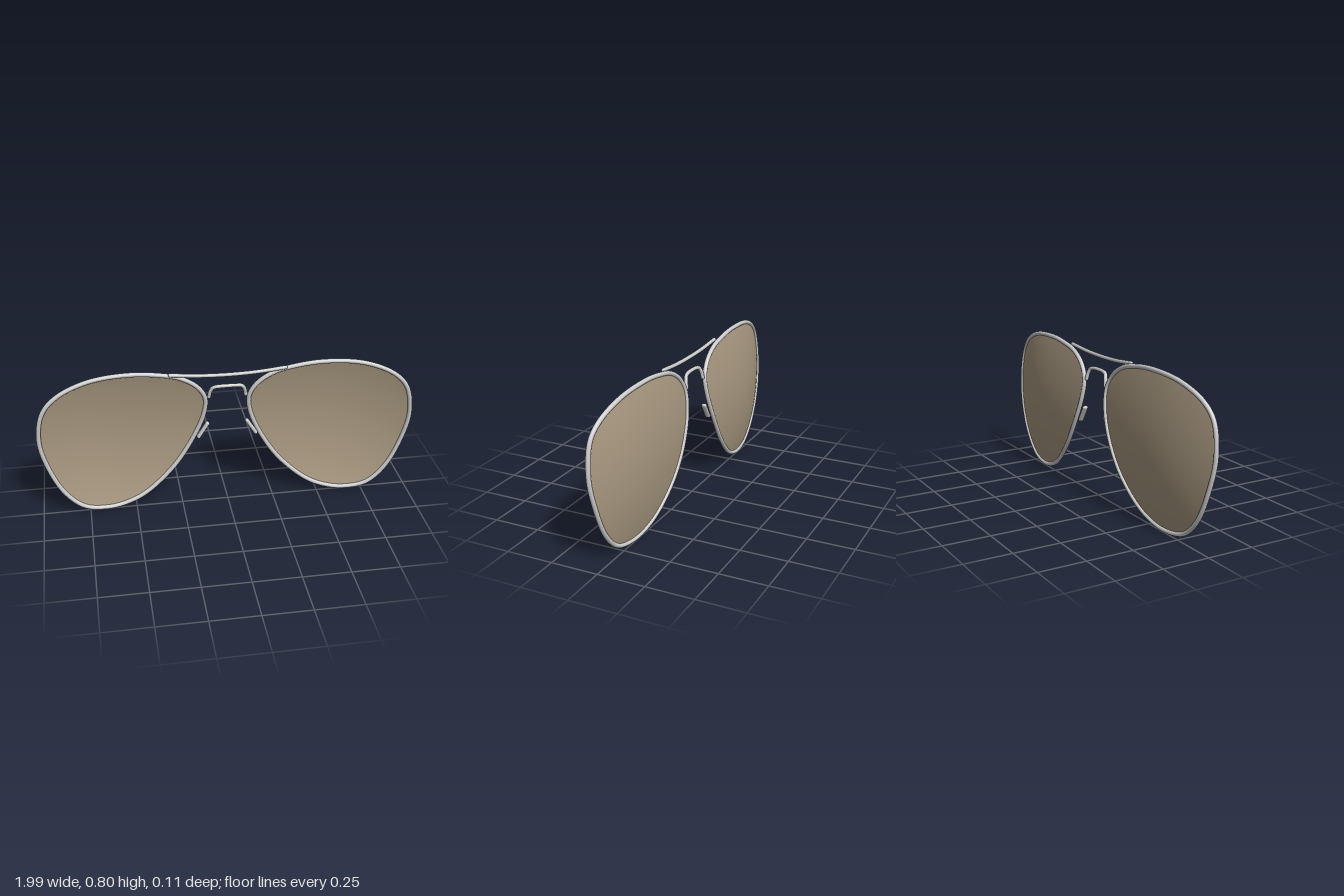
import * as THREE from 'three';

const metal = new THREE.MeshStandardMaterial({ color: 0xcccccc });
const tint = new THREE.MeshStandardMaterial({ color: 0xa89880, side: THREE.DoubleSide });

// Teardrop outline of one lens (x, y)
const outline = [
  [0.51, 0.805], [0.35, 0.79], [0.24, 0.763], [0.15, 0.705], [0.105, 0.63], [0.11, 0.535],
  [0.16, 0.40], [0.275, 0.215], [0.435, 0.068], [0.55, 0.017], [0.66, 0.003], [0.785, 0.03],
  [0.89, 0.135], [0.97, 0.32], [0.997, 0.48], [0.965, 0.64], [0.89, 0.72], [0.73, 0.785],
];
const CX = 0.55, CY = 0.42, RIM = 0.012;

// Depth of the wrapped lens surface at (x, y)
function depth(x, y) {
  const d = x - 0.46;
  const across = d < 0 ? 0.17 * d * d : 0.39 * Math.pow(d, 2.3);
  return -0.055 + across + 0.34 * (y - 0.4) ** 2;
}

// Outline pulled toward the lens middle by factor k and laid on the curved surface
function surfacePoint(p, k, side) {
  const x = CX + (p.x - CX) * k, y = CY + (p.y - CY) * k;
  return new THREE.Vector3(side * x, y, depth(x, y));
}

function addMesh(parent, name, geometry, material) {
  const mesh = new THREE.Mesh(geometry, material);
  mesh.name = name;
  parent.add(mesh);
  return mesh;
}

// Round wire through points, with rounded ends
function addWire(parent, name, points, radius) {
  const group = new THREE.Group();
  group.name = name;
  const pts = points.map((p) => new THREE.Vector3(...p));
  const curve = new THREE.CatmullRomCurve3(pts, false, 'centripetal');
  addMesh(group, name + 'Wire', new THREE.TubeGeometry(curve, 64, radius, 12), metal);
  for (const end of [pts[0], pts[pts.length - 1]]) {
    addMesh(group, name + 'End', new THREE.SphereGeometry(radius, 12, 8), metal).position.copy(end);
  }
  parent.add(group);
}

// Curved lens made of concentric rings
function lensGeometry(border, side) {
  const rings = 20, n = border.length, positions = [], index = [];
  for (let r = 0; r <= rings; r++) {
    for (const p of border) positions.push(...surfacePoint(p, (0.975 * r) / rings, side).toArray());
  }
  for (let r = 0; r < rings; r++) {
    for (let i = 0; i < n; i++) {
      const j = (i + 1) % n;
      const a = r * n + i, b = r * n + j, c = a + n, d = b + n;
      if (side > 0) index.push(a, c, d, ...(r ? [a, d, b] : []));
      else index.push(a, d, c, ...(r ? [a, b, d] : []));
    }
  }
  const g = new THREE.BufferGeometry();
  g.setAttribute('position', new THREE.Float32BufferAttribute(positions, 3));
  g.setIndex(index);
  // Analytic normals from the slope of the surface
  const normals = [], e = 0.001;
  for (let i = 0; i < positions.length; i += 3) {
    const x = positions[i] * side, y = positions[i + 1];
    const dx = (depth(x + e, y) - depth(x - e, y)) / (2 * e);
    const dy = (depth(x, y + e) - depth(x, y - e)) / (2 * e);
    normals.push(...new THREE.Vector3(-dx * side, -dy, 1).normalize().toArray());
  }
  g.setAttribute('normal', new THREE.Float32BufferAttribute(normals, 3));
  return g;
}

export function createModel() {
  const model = new THREE.Group();
  model.name = 'sunglasses';

  const border = new THREE.CatmullRomCurve3(
    outline.map(([x, y]) => new THREE.Vector3(x, y, 0)), true, 'centripetal',
  ).getSpacedPoints(96).slice(0, -1);

  for (const side of [1, -1]) {
    const half = new THREE.Group();
    half.name = side > 0 ? 'leftEyepiece' : 'rightEyepiece';
    model.add(half);

    addMesh(half, 'lens', lensGeometry(border, side), tint);

    // Wire rim around the lens
    const path = new THREE.CatmullRomCurve3(border.map((p) => surfacePoint(p, 0.973, side)), true);
    addMesh(half, 'rim', new THREE.TubeGeometry(path, 160, RIM, 12, true), metal);

    // Slim nose pad beside the rim
    const pad = addMesh(half, 'nosePad', new THREE.CapsuleGeometry(0.011, 0.088, 6, 16), metal);
    pad.scale.z = 1.4;
    pad.position.set(side * 0.13, 0.432, -0.02);
    pad.rotation.z = side * 0.56;
  }

  // Arched nose bridge
  const arch = [[0.097, 0.63, -0.016], [0.09, 0.665, -0.01], [0.075, 0.688, -0.003], [0.04, 0.695, 0.002]];
  const mirrored = arch.map(([x, y, z]) => [-x, y, z]);
  addWire(model, 'noseBridge', [...mirrored, [0, 0.696, 0.003], ...arch.slice().reverse()], 0.01);

  // Brow bar across the top
  addWire(model, 'browBar', [
    [-0.3, 0.783, 0.012], [-0.15, 0.77, 0.014], [0, 0.766, 0.015], [0.15, 0.77, 0.014], [0.3, 0.783, 0.012],
  ], 0.01);

  return model;
}
